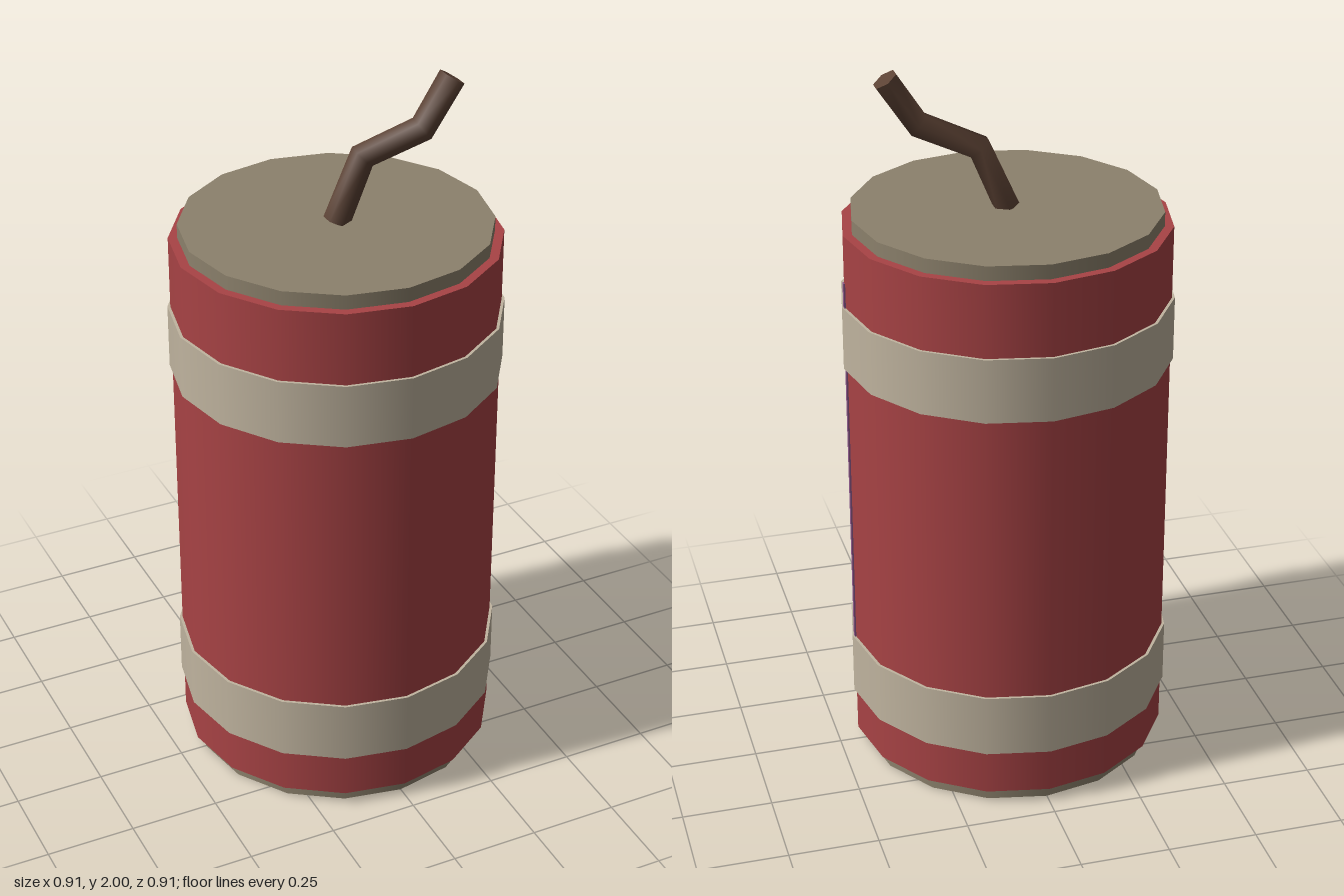
import * as THREE from 'three';

const SIDES = 16;

function part(name, geometry, color) {
  const mesh = new THREE.Mesh(geometry, new THREE.MeshStandardMaterial({ color }));
  mesh.name = name;
  return mesh;
}

// Upright closed cylinder spanning y0 to y1
function drum(name, radius, y0, y1, color) {
  const mesh = part(name, new THREE.CylinderGeometry(radius, radius, y1 - y0, SIDES), color);
  mesh.position.y = (y0 + y1) / 2;
  return mesh;
}

// Hexagonal cord lofted along a bent path, with mitred bends and flat ends
function cordGeometry(path, radius, sides) {
  const positions = [], index = [];
  const rings = path.map((p, i) => {
    const a = path[Math.max(i - 1, 0)], b = path[Math.min(i + 1, path.length - 1)];
    const tangent = b.clone().sub(a).normalize();
    const side = new THREE.Vector3(0, 0, 1).cross(tangent).normalize();
    const depth = tangent.clone().cross(side);
    return Array.from({ length: sides }, (_, j) => {
      const t = (j / sides) * Math.PI * 2;
      return p.clone().addScaledVector(side, radius * Math.sin(t)).addScaledVector(depth, radius * Math.cos(t));
    });
  });
  const add = (ring) => {
    const start = positions.length / 3;
    ring.forEach((v) => positions.push(v.x, v.y, v.z));
    return start;
  };
  rings.forEach(add);
  for (let i = 0; i < rings.length - 1; i++) {
    for (let j = 0; j < sides; j++) {
      const k = (j + 1) % sides;
      const a = i * sides + j, b = i * sides + k, c = a + sides, d = b + sides;
      index.push(a, c, b, b, c, d);
    }
  }
  // End caps on their own vertices so the rims stay sharp
  const s = add(rings[0]), e = add(rings[rings.length - 1]);
  for (let j = 1; j < sides - 1; j++) {
    index.push(s, s + j, s + j + 1, e, e + j + 1, e + j);
  }
  const geometry = new THREE.BufferGeometry();
  geometry.setAttribute('position', new THREE.Float32BufferAttribute(positions, 3));
  geometry.setIndex(index);
  geometry.computeVertexNormals();
  return geometry;
}

export function createModel() {
  const group = new THREE.Group();
  group.name = 'firecracker';

  // Paper tube with a core that shows as a disc at both ends
  group.add(drum('tube', 0.447, 0.04, 1.575, 0xa84345));
  group.add(drum('bottomCap', 0.422, 0, 0.1, 0x8c816c));
  group.add(drum('topCap', 0.422, 1.5, 1.615, 0x8c816c));

  // Wrapped bands
  group.add(drum('lowerBand', 0.455, 0.17, 0.35, 0xc0b49f));
  group.add(drum('upperBand', 0.455, 1.19, 1.37, 0xc0b49f));

  // Thin paper seam along the left side
  const seam = part('seam', new THREE.BoxGeometry(0.008, 1.17, 0.014), 0x8f5a8c);
  seam.position.set(0.446, 0.855, 0);
  group.add(seam);

  // Crooked fuse
  const path = [
    [0, 1.612, 0], [0.075, 1.785, 0], [0.23, 1.85, 0.038], [0.316, 1.98, 0.038],
  ].map((p) => new THREE.Vector3(...p));
  group.add(part('fuse', cordGeometry(path, 0.037, 6), 0x5c4234));

  return group;
}
